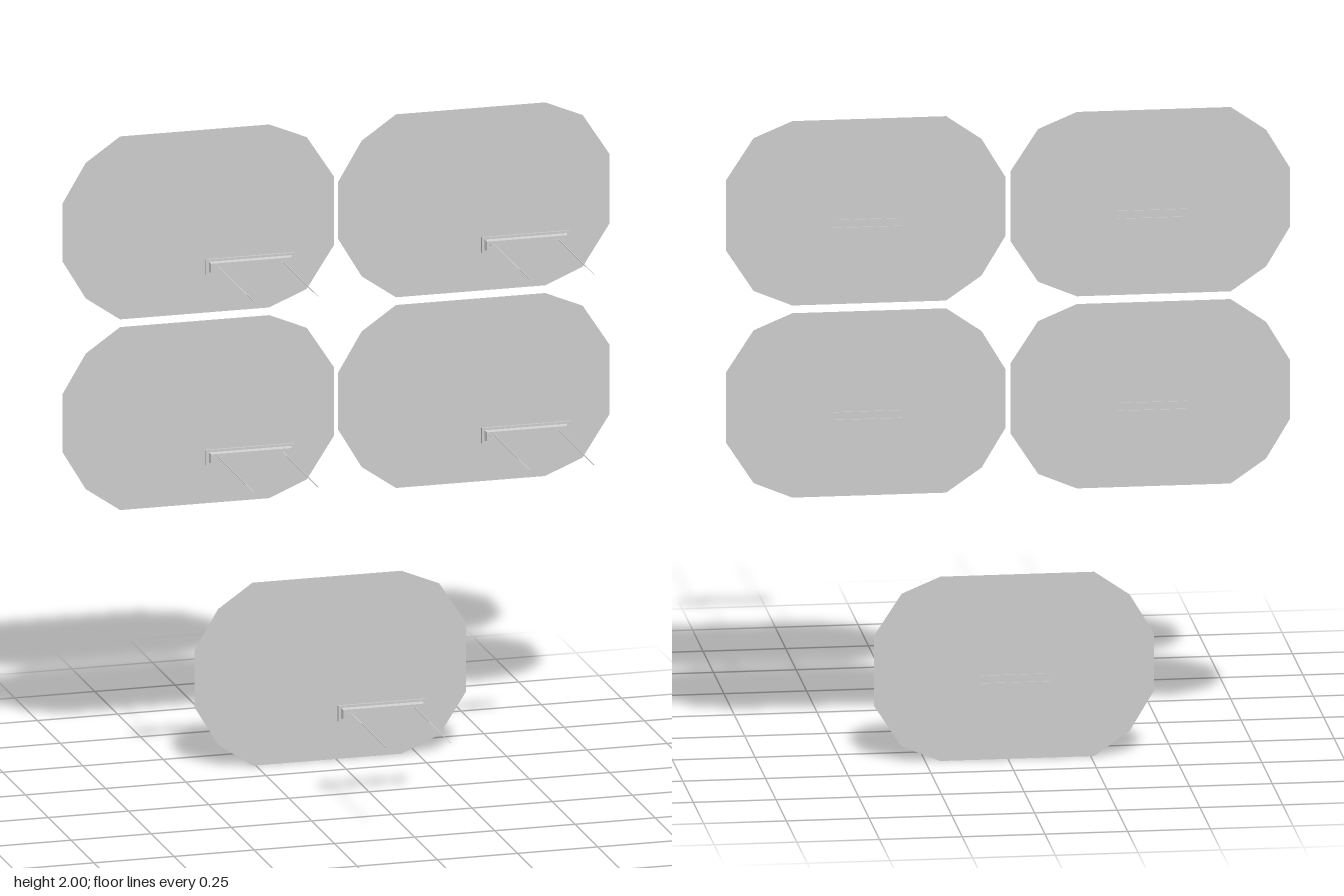
import * as THREE from 'three';

const material = new THREE.MeshStandardMaterial({ color: 0xcccccc, flatShading: true, side: THREE.DoubleSide });

// outline of the large flat panel, upper half from left to right
const upper = [[-0.423, 0.09], [-0.35, 0.212], [-0.243, 0.286], [0.222, 0.286], [0.339, 0.237], [0.423, 0.108]];

function addMesh(parent, name, geometry, x, y, z) {
  const mesh = new THREE.Mesh(geometry, material);
  mesh.name = name;
  mesh.position.set(x, y, z);
  parent.add(mesh);
}

// box whose front face is shrunk to a smaller width and height
function taperedBox(w, h, d, frontW, frontH) {
  const geometry = new THREE.BoxGeometry(w, h, d);
  const p = geometry.attributes.position;
  for (let i = 0; i < p.count; i++) {
    if (p.getZ(i) > 0) p.setXY(i, p.getX(i) * frontW / w, p.getY(i) * frontH / h);
  }
  geometry.computeVertexNormals();
  return geometry;
}

function createUnit() {
  const unit = new THREE.Group();
  unit.name = 'lampUnit';

  // large flat panel behind the bar
  const lower = upper.map(([x, y]) => [x, -y]).reverse();
  const outline = new THREE.Shape([...upper, ...lower].map(([x, y]) => new THREE.Vector2(x, y)));
  addMesh(unit, 'panel', new THREE.ShapeGeometry(outline), -0.0175, -0.011, -0.363);

  // bar: flange, raised front and narrow back plate
  addMesh(unit, 'barFlange', new THREE.BoxGeometry(0.275, 0.048, 0.007), 0, 0, 0.143);
  addMesh(unit, 'barFront', taperedBox(0.257, 0.034, 0.012, 0.25, 0.027), 0, 0, 0.1525);
  addMesh(unit, 'barBack', new THREE.BoxGeometry(0.215, 0.03, 0.006), 0, 0, 0.1365);

  // small slots with thin rods running forward from them
  for (const side of [-1, 1]) {
    addMesh(unit, 'slot', new THREE.BoxGeometry(0.03, 0.004, 0.002), side * 0.1, 0.002, 0.159);
    addMesh(unit, 'rod', new THREE.BoxGeometry(0.003, 0.001, 0.385), side * 0.1, 0.002, 0.35);
  }

  // pair of thin strips at the back
  for (const side of [-1, 1]) {
    addMesh(unit, 'rearStrip', new THREE.BoxGeometry(0.21, 0.002, 0.004), 0, side * 0.012, -0.547);
  }
  return unit;
}

export function createModel() {
  const model = new THREE.Group();
  model.name = 'lampArray';
  // two rows of two and a single unit below
  for (const [x, y] of [[-0.4125, 1.725], [0.4475, 1.725], [-0.4125, 1.129], [0.4475, 1.129], [0, 0.297]]) {
    const unit = createUnit();
    unit.position.set(x, y, 0);
    model.add(unit);
  }
  return model;
}
